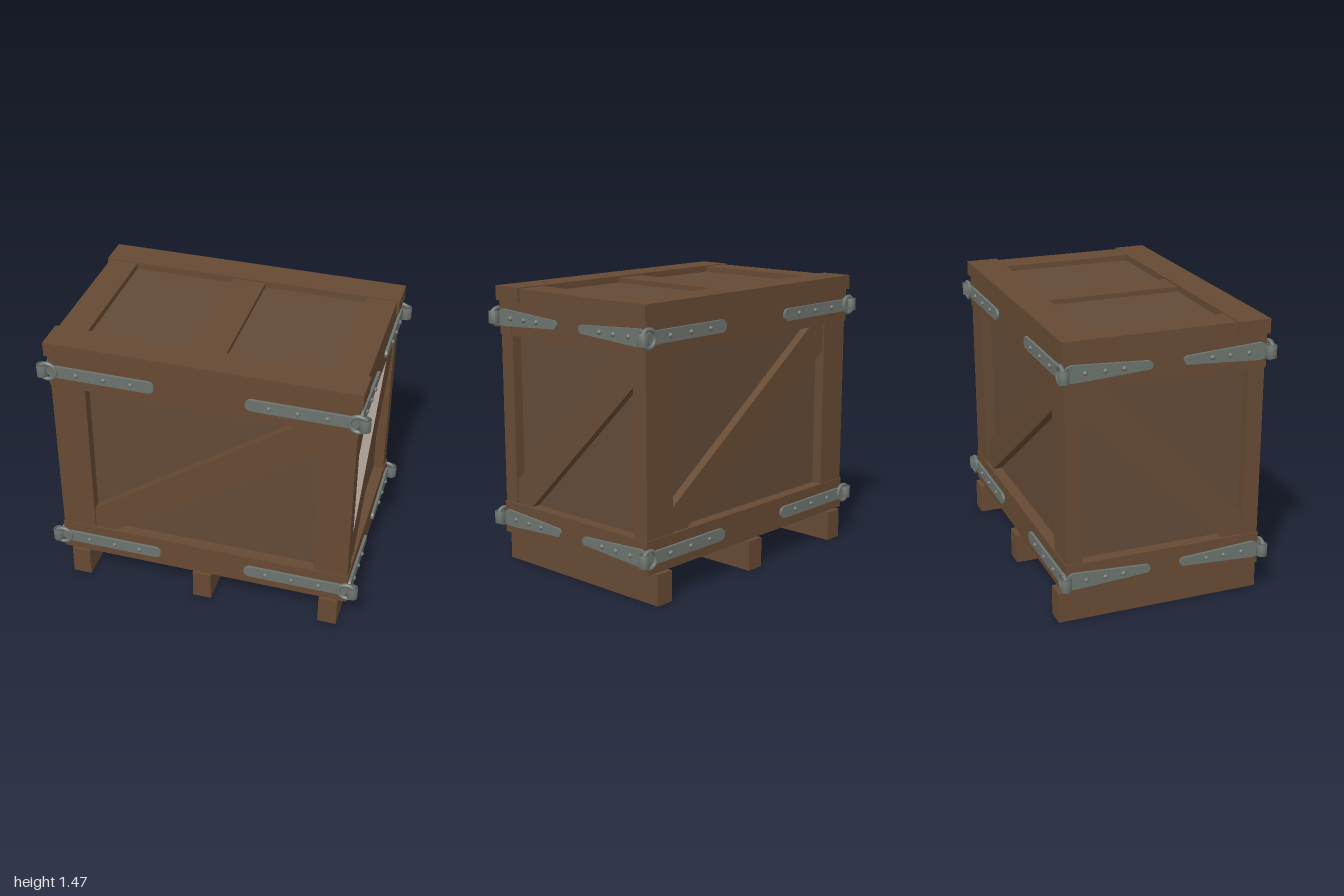
import * as THREE from 'three';

const mat = (name, color) => {
  const m = new THREE.MeshStandardMaterial({ color });
  m.name = name;
  return m;
};

export function createModel() {
  const frame = mat('frame wood', 0x664a33);
  const panel = mat('panel wood', 0x624a37);
  const metal = mat('dull iron', 0x6c736e);

  const HX = 0.785, HZ = 0.52;          // outer half length and half depth
  const RAIL_LOW = [0.16, 0.33], RAIL_TOP = [1.22, 1.395];
  const DEPTH = 0.085;                  // board thickness
  const crate = new THREE.Group();
  crate.name = 'crate';

  const add = (parent, name, geo, material, x = 0, y = 0, z = 0) => {
    const m = new THREE.Mesh(geo, material);
    m.name = name;
    m.position.set(x, y, z);
    parent.add(m);
    return m;
  };
  // box given by its limits on each axis
  const board = (name, x, y, z, material = frame) =>
    add(crate, name, new THREE.BoxGeometry(x[1] - x[0], y[1] - y[0], z[1] - z[0]), material,
      (x[0] + x[1]) / 2, (y[0] + y[1]) / 2, (z[0] + z[1]) / 2);
  const span = (c, w) => [c - w / 2, c + w / 2];

  // recessed inner box: wall panels, floor and lid panel
  board('innerPanels', [-0.725, 0.725], [0.2, 1.435], [-0.46, 0.46], panel);

  // corner posts
  for (const sx of [-1, 1]) for (const sz of [-1, 1])
    board('cornerPost', span(sx * 0.69, 0.18), [0.33, 1.22], span(sz * 0.4725, DEPTH));

  // rails around the bottom and top
  for (const y of [RAIL_LOW, RAIL_TOP]) for (const s of [-1, 1]) {
    board('longRail', [-HX, HX], y, span(s * (HZ - DEPTH / 2), DEPTH));
    board('endRail', span(s * (HX - 0.002 - DEPTH / 2), DEPTH), y, [DEPTH - HZ, HZ - DEPTH]);
  }

  // lid frame
  const lidY = [1.395, 1.47];
  for (const s of [-1, 1]) {
    board('lidLongBoard', [-0.8, 0.8], lidY, span(s * 0.445, 0.17));
    board('lidEndBoard', span(s * 0.7075, 0.155), [1.395, 1.465], [-0.36, 0.36]);
  }
  board('lidCrossBoard', span(0, 0.17), [1.4, 1.46], [-0.36, 0.36]);

  // skids
  for (const x of [-0.69, 0, 0.69]) board('skid', span(x, 0.1), [0, 0.16], [-0.545, 0.535]);

  // iron strap between u0 and u1 with rounded ends, half heights r0 and r1
  const strapGeometry = (u0, u1, r0, r1) => {
    const s = new THREE.Shape();
    s.moveTo(u0 + r0, -r0);
    s.lineTo(u1 - r1, -r1);
    s.absarc(u1 - r1, 0, r1, -Math.PI / 2, Math.PI / 2, false);
    s.lineTo(u0 + r0, r0);
    s.absarc(u0 + r0, 0, r0, Math.PI / 2, Math.PI * 1.5, false);
    return new THREE.ExtrudeGeometry(s, { depth: 0.014, bevelEnabled: false, curveSegments: 6 });
  };
  const rivet = new THREE.SphereGeometry(0.013, 10, 5, 0, Math.PI * 2, 0, Math.PI / 2);
  rivet.rotateX(Math.PI / 2);

  // one wall: diagonal brace and four straps, built facing +z
  const wall = (name, angle, dist, open, flip, strap, rivets) => {
    const g = new THREE.Group();
    g.name = name;
    g.rotation.y = angle;
    const pts = [[-open, 0.33], [-open + 0.115, 0.33], [open, 1.08],
      [open, 1.22], [open - 0.115, 1.22], [-open, 0.45]];
    const shape = new THREE.Shape(pts.map(([x, y]) => new THREE.Vector2(x * flip, y)));
    add(g, 'diagonalBrace', new THREE.ExtrudeGeometry(shape, { depth: 0.05, bevelEnabled: false }),
      frame, 0, 0, dist - 0.064);
    for (const y of [0.245, 1.31]) for (const s of [-1, 1]) {
      const geo = strapGeometry(...strap);
      const m = add(g, 'strap', geo, metal, 0, y, dist);
      if (s < 0) { m.rotation.z = Math.PI; }
      for (const u of rivets) add(g, 'rivet', rivet, metal, s * u, y, dist + 0.013);
    }
    crate.add(g);
  };
  const longStrap = [0.23, 0.79, 0.032, 0.032], longRivets = [0.35, 0.49, 0.635];
  const endStrap = [0.08, 0.525, 0.022, 0.044], endRivets = [0.225, 0.32, 0.42];
  wall('frontWall', 0, HZ, 0.6, 1, longStrap, longRivets);
  wall('backWall', Math.PI, HZ, 0.6, 1, longStrap, longRivets);
  wall('leftWall', Math.PI / 2, HX, 0.435, 1, endStrap, endRivets);
  wall('rightWall', -Math.PI / 2, HX, 0.435, -1, endStrap, endRivets);

  // corner rings and hollow barrels joining the straps
  const ring = new THREE.TorusGeometry(0.044, 0.011, 8, 20);
  const barrel = new THREE.LatheGeometry(
    [[0.014, -0.032], [0.028, -0.032], [0.028, 0.032], [0.014, 0.032], [0.014, -0.032]]
      .map(([x, y]) => new THREE.Vector2(x, y)), 14);
  for (const y of [0.245, 1.31]) for (const sx of [-1, 1]) for (const sz of [-1, 1]) {
    add(crate, 'cornerRing', ring, metal, sx * 0.785, y, sz * 0.535);
    add(crate, 'cornerBarrel', barrel, metal, sx * 0.815, y, sz * 0.53);
  }

  // the crate stands turned on the floor
  crate.rotation.y = -Math.PI / 6;
  const model = new THREE.Group();
  model.name = 'woodenCrate';
  model.add(crate);
  return model;
}
